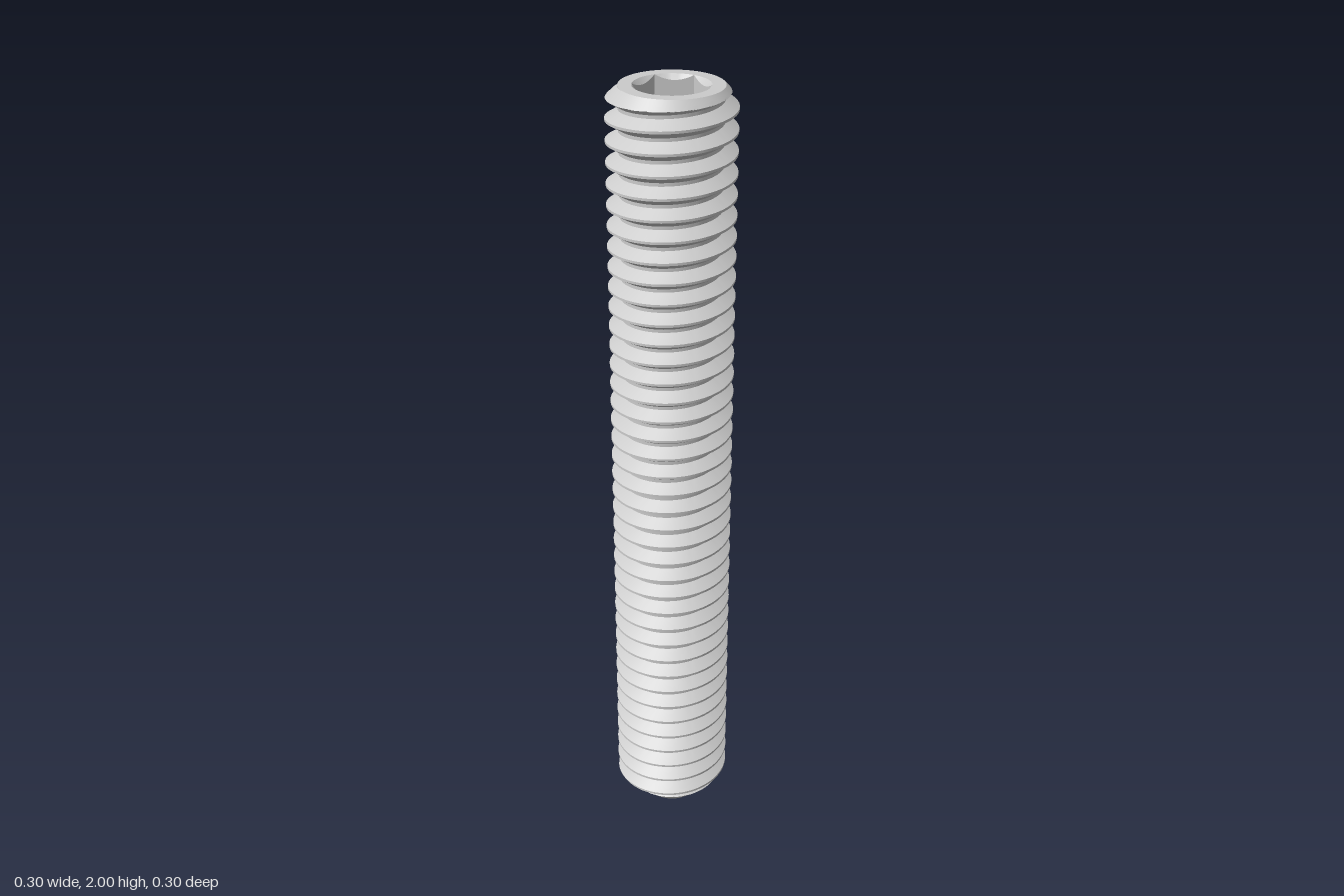
import * as THREE from 'three';
import { toCreasedNormals } from 'three/addons/utils/BufferGeometryUtils.js';

const LENGTH = 2, PITCH = 0.05, SEGMENTS = 72;
const MAJOR = 0.15, MINOR = 0.12;          // thread radii
const CUP = 0.07, CUP_DEPTH = 0.04;        // recessed point
const HEX = 0.089, HEX_DEPTH = 0.17;       // socket corner radius and depth

// Lofts rows around the y axis; each row maps an angle to [radius, y].
function loft(rows) {
  const point = (row, j) => {
    const a = (j / SEGMENTS) * Math.PI * 2;
    const [r, y] = row(a);
    return new THREE.Vector3(r * Math.cos(a), y, -r * Math.sin(a));
  };
  const grid = rows.map((row) => Array.from({ length: SEGMENTS + 1 }, (_, j) => point(row, j)));
  const positions = [];
  const addTriangle = (a, b, c) => {
    if (new THREE.Triangle(a, b, c).getArea() < 1e-10) return;
    for (const p of [a, b, c]) positions.push(p.x, p.y, p.z);
  };
  for (let i = 0; i < rows.length - 1; i++) {
    for (let j = 0; j < SEGMENTS; j++) {
      const a = grid[i][j], b = grid[i][j + 1], c = grid[i + 1][j + 1], d = grid[i + 1][j];
      addTriangle(a, b, c);
      addTriangle(a, c, d);
    }
  }
  const geometry = new THREE.BufferGeometry();
  geometry.setAttribute('position', new THREE.Float32BufferAttribute(positions, 3));
  return toCreasedNormals(geometry, 0.5);
}

// Right-hand V thread, cut by the top chamfer and the conical point.
function threadRow(u) {
  const t = u - Math.floor(u);
  const fromCrest = Math.min(t, 1 - t);
  const flank = THREE.MathUtils.clamp((fromCrest - 0.06) / 0.36, 0, 1);
  const radius = THREE.MathUtils.lerp(MAJOR, MINOR, flank);
  return (angle) => {
    const y = THREE.MathUtils.clamp((u + angle / (Math.PI * 2)) * PITCH, 0, LENGTH);
    return [Math.min(radius, CUP + y, MINOR + LENGTH - y), y];
  };
}

function threadRows() {
  const turns = LENGTH / PITCH;
  const rows = [];
  for (let k = -1; k < turns; k++) {
    // Finer steps where the ends are cut
    const atEnd = k < 3 || k >= turns - 2;
    const steps = atEnd ? Array.from({ length: 50 }, (_, i) => i / 50) : [0.06, 0.42, 0.58, 0.94];
    for (const s of steps) rows.push(threadRow(k + s));
  }
  rows.push(threadRow(turns));
  return rows;
}

// Radius of the hexagon at an angle, with corners on the x axis
function hexRadius(angle) {
  const sector = Math.PI / 3;
  const local = (angle + 1e-9) % sector - sector / 2;
  return HEX * Math.cos(sector / 2) / Math.cos(local);
}

export function createModel() {
  const group = new THREE.Group();
  const material = new THREE.MeshStandardMaterial({ color: 0xcccccc });
  const add = (name, rows) => {
    const mesh = new THREE.Mesh(loft(rows), material);
    mesh.name = name;
    group.add(mesh);
  };

  add('threadedShank', threadRows());

  // Hollow conical tip
  add('cupPoint', [() => [0, CUP_DEPTH], () => [CUP, 0]]);

  // Flat ring around the socket
  add('topFace', [() => [MINOR, LENGTH], () => [HEX, LENGTH]]);

  // Hexagonal socket with a countersunk mouth and flat floor
  const floor = LENGTH - HEX_DEPTH;
  add('hexSocket', [
    () => [HEX, LENGTH],
    (a) => [hexRadius(a), LENGTH - (HEX - hexRadius(a))],
    (a) => [hexRadius(a), floor],
    () => [0, floor],
  ]);

  return group;
}
